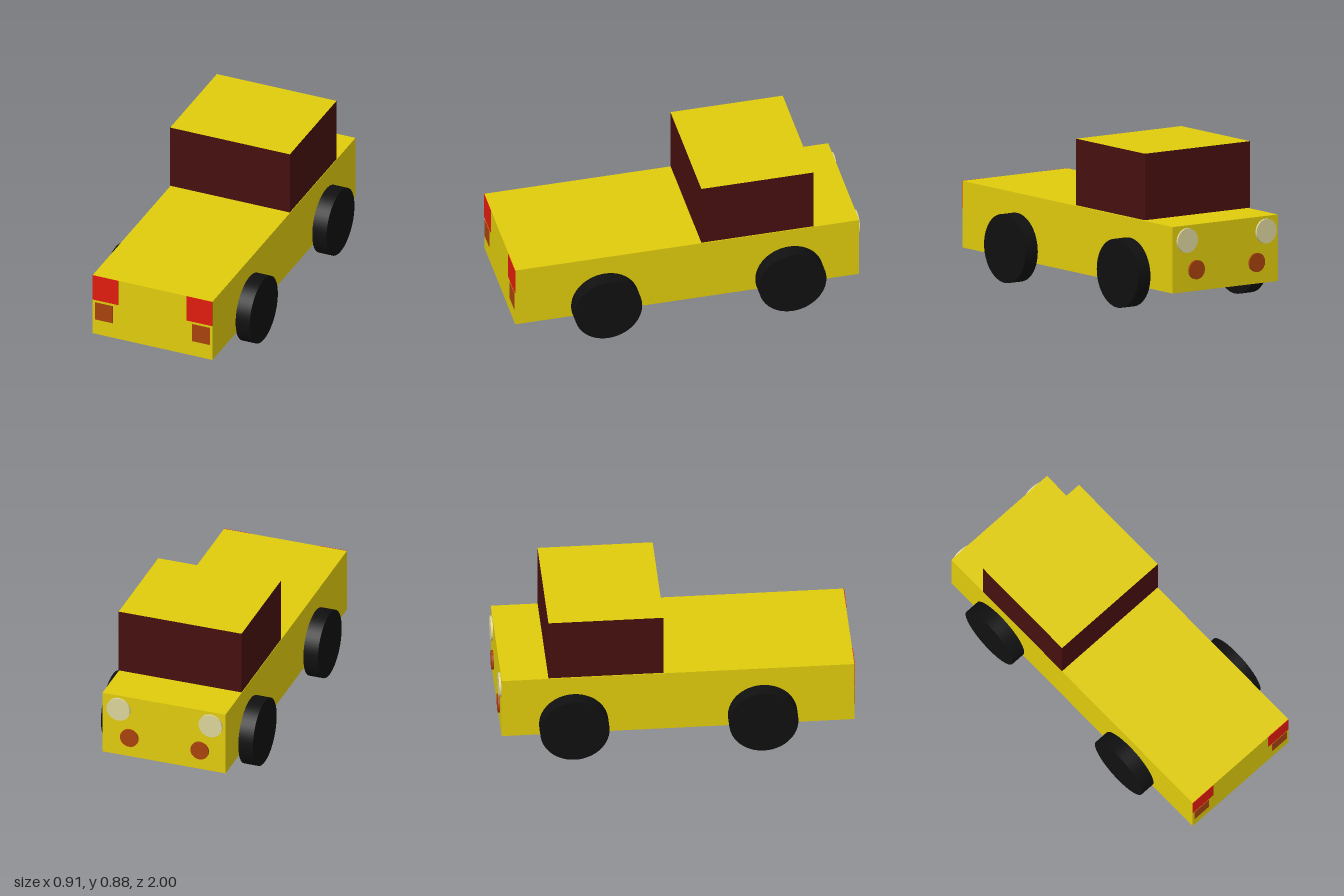
import * as THREE from 'three';

const paint = (color) => new THREE.MeshStandardMaterial({ color });

export function createModel() {
  const car = new THREE.Group();
  car.name = 'car';

  const yellow = paint(0xdfcb0c);
  const maroon = paint(0x470f0f);
  const red = paint(0xe01c0f);
  const amber = paint(0xa8420e);
  const cream = paint(0xdcd49b);
  const black = paint(0x101010);

  const add = (name, geometry, material, x, y, z) => {
    const mesh = new THREE.Mesh(geometry, material);
    mesh.name = name;
    mesh.position.set(x, y, z);
    car.add(mesh);
    return mesh;
  };

  // Long body slab
  add('body', new THREE.BoxGeometry(0.734, 0.378, 1.985), yellow, 0, 0.314, 0.0045);

  // Cabin with dark sides and a painted roof (face order: +x -x +y -y +z -z)
  const cabinFaces = [maroon, maroon, yellow, maroon, maroon, maroon];
  add('cabin', new THREE.BoxGeometry(0.734, 0.378, 0.648), cabinFaces, 0, 0.696, -0.401);

  // Wheels, flush against the body sides
  const wheel = new THREE.CylinderGeometry(0.195, 0.195, 0.087, 48).rotateZ(Math.PI / 2);
  // Round lamps on one end, square lamps on the other
  const headlamp = new THREE.CylinderGeometry(0.07, 0.07, 0.012, 32).rotateX(Math.PI / 2);
  const indicator = new THREE.CylinderGeometry(0.054, 0.054, 0.012, 32).rotateX(Math.PI / 2);
  const squareLamp = new THREE.BoxGeometry(0.157, 0.157, 0.003);
  const smallSquareLamp = new THREE.BoxGeometry(0.11, 0.11, 0.003);

  for (const [side, s] of [['left', 1], ['right', -1]]) {
    add(`${side}FrontWheel`, wheel, black, s * 0.41, 0.195, 0.48);
    add(`${side}BackWheel`, wheel, black, s * 0.41, 0.195, -0.583);
    add(`${side}RoundLamp`, headlamp, cream, s * 0.275 - 0.005, 0.418, -0.994);
    add(`${side}RoundIndicator`, indicator, amber, s * 0.21 - 0.005, 0.246, -0.994);
    add(`${side}SquareLamp`, squareLamp, red, s * 0.2885, 0.4245, 0.9985);
    add(`${side}SquareIndicator`, smallSquareLamp, amber, s * 0.298, 0.275, 0.9985);
  }

  return car;
}
